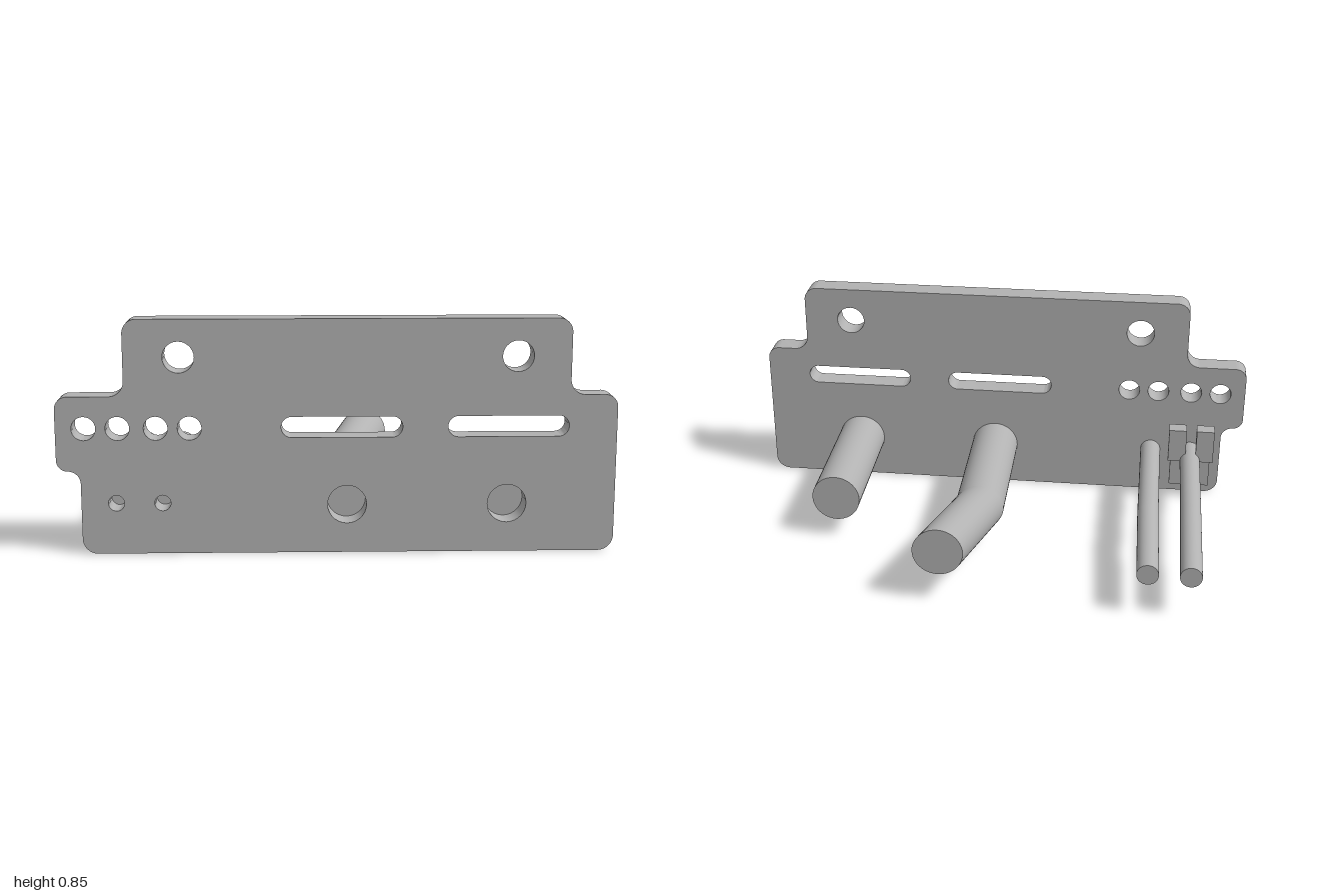
import * as THREE from 'three';
import { toCreasedNormals } from 'three/addons/utils/BufferGeometryUtils.js';

const BACK = 0.435, FRONT = 0.525, END = -0.525, BEND = -0.11;

// Closed outline from corners [x, y, radius], each rounded by a quarter arc
function roundedOutline(corners) {
  const shape = new THREE.Shape();
  const n = corners.length;
  corners.forEach(([x, y, r], i) => {
    const c = new THREE.Vector2(x, y);
    const toward = (k) => {
      const [px, py] = corners[(i + k + n) % n];
      return new THREE.Vector2(px, py).sub(c).normalize();
    };
    const before = toward(-1), after = toward(1);
    const at = (dir, d) => c.clone().addScaledVector(dir, d);
    const a = at(before, r), b = at(after, r);
    const h1 = at(before, r * 0.448), h2 = at(after, r * 0.448);
    if (i === 0) shape.moveTo(a.x, a.y);
    else shape.lineTo(a.x, a.y);
    shape.bezierCurveTo(h1.x, h1.y, h2.x, h2.y, b.x, b.y);
  });
  shape.closePath();
  return shape;
}

function circleHole(x, y, r) {
  return new THREE.Path().absarc(x, y, r, 0, Math.PI * 2, true);
}

function slotHole(x0, x1, y, r) {
  const p = new THREE.Path();
  p.absarc(x0 + r, y, r, Math.PI * 1.5, Math.PI * 0.5, true);
  p.absarc(x1 - r, y, r, Math.PI * 0.5, -Math.PI * 0.5, true);
  p.closePath();
  return p;
}

// Rod section along z, sheared so both ends stay parallel to the plate
function rodSection(x0, y0, z0, x1, y1, z1, r) {
  const len = z0 - z1;
  const g = new THREE.CylinderGeometry(r, r, len, 40);
  g.rotateX(Math.PI / 2);
  const sx = (x0 - x1) / len, sy = (y0 - y1) / len;
  g.applyMatrix4(new THREE.Matrix4().set(
    1, 0, sx, (x0 + x1) / 2,
    0, 1, sy, (y0 + y1) / 2,
    0, 0, 1, (z0 + z1) / 2,
    0, 0, 0, 1));
  return g;
}

export function createModel() {
  const model = new THREE.Group();
  const grey = new THREE.MeshStandardMaterial({ color: 0xb2b2b2 });
  grey.name = 'plain grey';

  const add = (name, geometry, parent = model) => {
    const mesh = new THREE.Mesh(geometry, grey);
    mesh.name = name;
    parent.add(mesh);
    return mesh;
  };

  // Mounting plate with stepped shoulders
  const outline = roundedOutline([
    [-0.915, 0, 0.055], [1, 0, 0.055], [1, 0.575, 0.045], [0.83, 0.575, 0.055],
    [0.83, 0.85, 0.05], [-0.755, 0.85, 0.05], [-0.755, 0.575, 0.055],
    [-1, 0.575, 0.045], [-1, 0.305, 0.04], [-0.915, 0.305, 0.045],
  ]);
  // Screw holes, row of small holes, slots and rod holes
  for (const x of [-0.56, 0.64]) outline.holes.push(circleHole(x, 0.715, 0.056));
  for (const x of [-0.9, -0.78, -0.645, -0.525]) outline.holes.push(circleHole(x, 0.46, 0.043));
  for (const x of [-0.2, 0.395]) outline.holes.push(slotHole(x, x + 0.433, 0.462, 0.038));
  for (const x of [0.035, 0.61]) outline.holes.push(circleHole(x, 0.178, 0.07));
  for (const x of [-0.79, -0.625]) outline.holes.push(circleHole(x, 0.187, 0.029));
  const plate = new THREE.ExtrudeGeometry(outline, {
    depth: FRONT - BACK, bevelEnabled: false, curveSegments: 14,
  });
  plate.translate(0, 0, BACK);
  add('plate', toCreasedNormals(plate, 0.6));

  // Straight short rod and bent long rods
  add('shortRod', rodSection(0.612, 0.176, BACK, 0.612, 0.176, BEND, 0.095));
  const bentRod = (name, x, y, dx, dy, r) => {
    const rod = new THREE.Group();
    rod.name = name;
    add(name + 'Base', rodSection(x, y, BACK, x, y, BEND, r), rod);
    add(name + 'Tip', rodSection(x, y, BEND, x + dx, y + dy, END, r), rod);
    model.add(rod);
  };
  bentRod('bentRod', 0.035, 0.176, 0.105, 0.04, 0.095);
  bentRod('outerPin', -0.79, 0.19, 0, -0.015, 0.041);
  bentRod('innerPin', -0.625, 0.19, -0.007, -0.015, 0.041);

  // Pair of clips on either side of the outer pin
  for (const x of [-0.848, -0.735]) {
    const clip = new THREE.Group();
    clip.name = 'clip';
    add('clipHead', new THREE.BoxGeometry(0.072, 0.14, 0.06), clip).position.set(x, 0.26, 0.368);
    add('clipStem', new THREE.BoxGeometry(0.05, 0.125, 0.03), clip).position.set(x, 0.1275, 0.383);
    model.add(clip);
  }
  return model;
}
